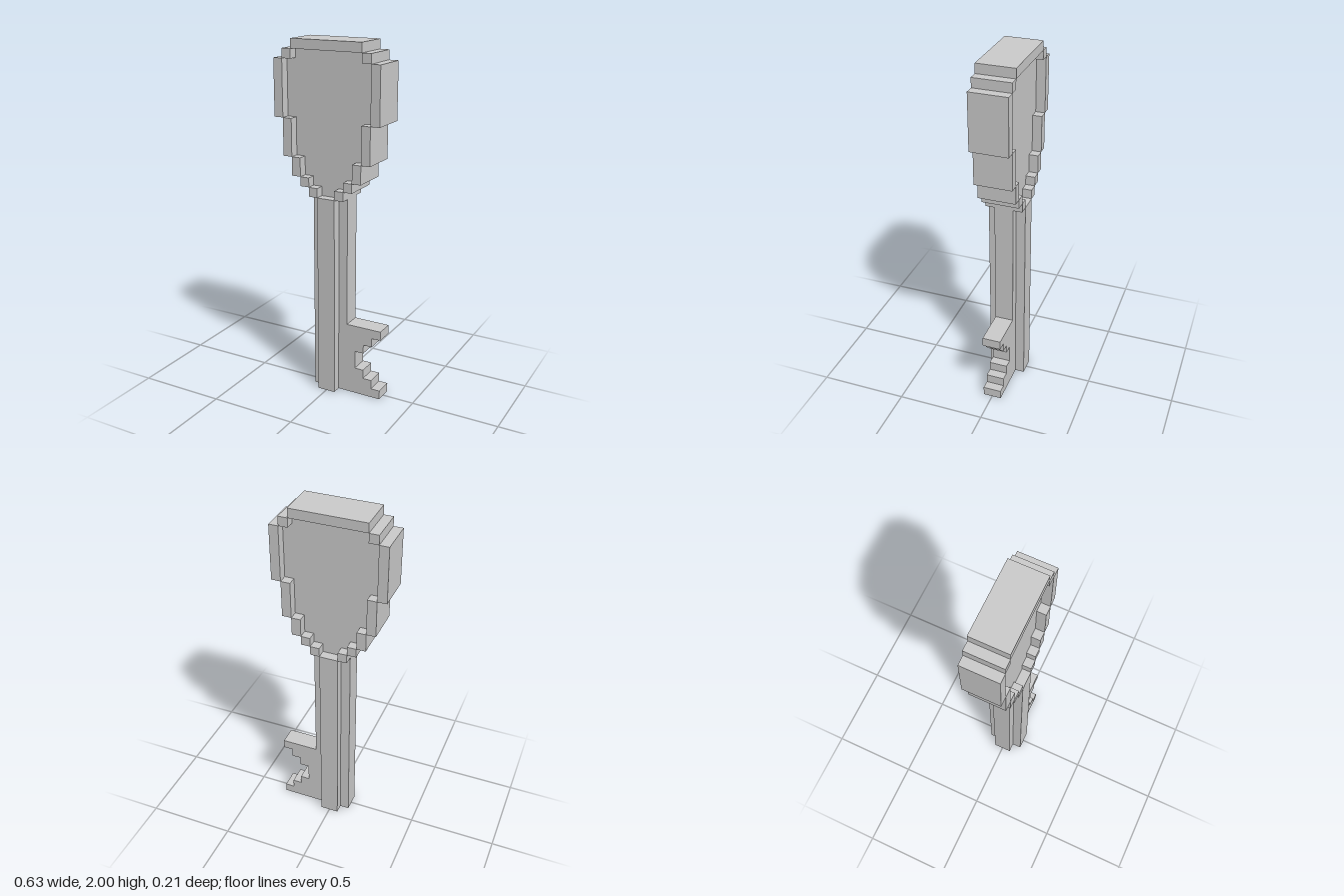
import * as THREE from 'three';

const U = 2 / 38; // one block
const material = new THREE.MeshStandardMaterial({ color: 0xcccccc, flatShading: true });

// Extrudes a polygon given in blocks, centred on z
function slab(points, depth) {
  const shape = new THREE.Shape(points.map(([x, y]) => new THREE.Vector2(x * U, y * U)));
  const geometry = new THREE.ExtrudeGeometry(shape, { depth: depth * U, bevelEnabled: false });
  return geometry.translate(0, 0, (-depth * U) / 2);
}

// Right-hand stepped edge, going up, from rows of [halfWidth, yBottom, yTop]
const steps = rows => rows.flatMap(([w, y0, y1]) => [[w, y0], [w, y1]]);

function addMesh(parent, name, geometry) {
  const mesh = new THREE.Mesh(geometry, material);
  mesh.name = name;
  parent.add(mesh);
  return mesh;
}

export function createModel() {
  const key = new THREE.Group();
  key.name = 'key';

  // Handle: recessed panel inside a raised stepped rim
  const handle = new THREE.Group();
  handle.name = 'handle';
  key.add(handle);
  const rows = [[1, 22, 23], [2, 23, 24], [3, 24, 26], [4, 26, 30], [5, 30, 36], [4, 36, 37]];
  const edge = steps(rows);
  const mirrored = edge.map(([x, y]) => [-x, y]).reverse();
  addMesh(handle, 'handlePanel', slab([...edge, ...mirrored], 2));

  for (const [w, y0, y1] of rows) {
    for (const side of [-1, 1]) {
      const block = addMesh(handle, 'handleRimBlock', new THREE.BoxGeometry(U, (y1 - y0) * U, 4 * U));
      block.position.set(side * (w + 0.5) * U, ((y0 + y1) / 2) * U, 0);
    }
  }
  const top = addMesh(handle, 'handleRimTop', new THREE.BoxGeometry(8 * U, U, 4 * U));
  top.position.y = 37.5 * U;

  // Shaft: cross-shaped section standing upright
  const cross = [
    [1, -2], [1, -1], [2, -1], [2, 1], [1, 1], [1, 2],
    [-1, 2], [-1, 1], [-2, 1], [-2, -1], [-1, -1], [-1, -2],
  ];
  const shaft = addMesh(key, 'shaft', slab(cross, 22).rotateX(-Math.PI / 2));
  shaft.position.y = 11 * U;

  // Bit: stepped notch between two teeth
  const teeth = steps([[6, 0, 1], [5, 1, 2], [4, 2, 3], [3, 3, 5], [4, 5, 6], [5, 6, 7], [6, 7, 8]]);
  addMesh(key, 'bit', slab([[2, 0], ...teeth, [2, 8]], 2));

  return key;
}
